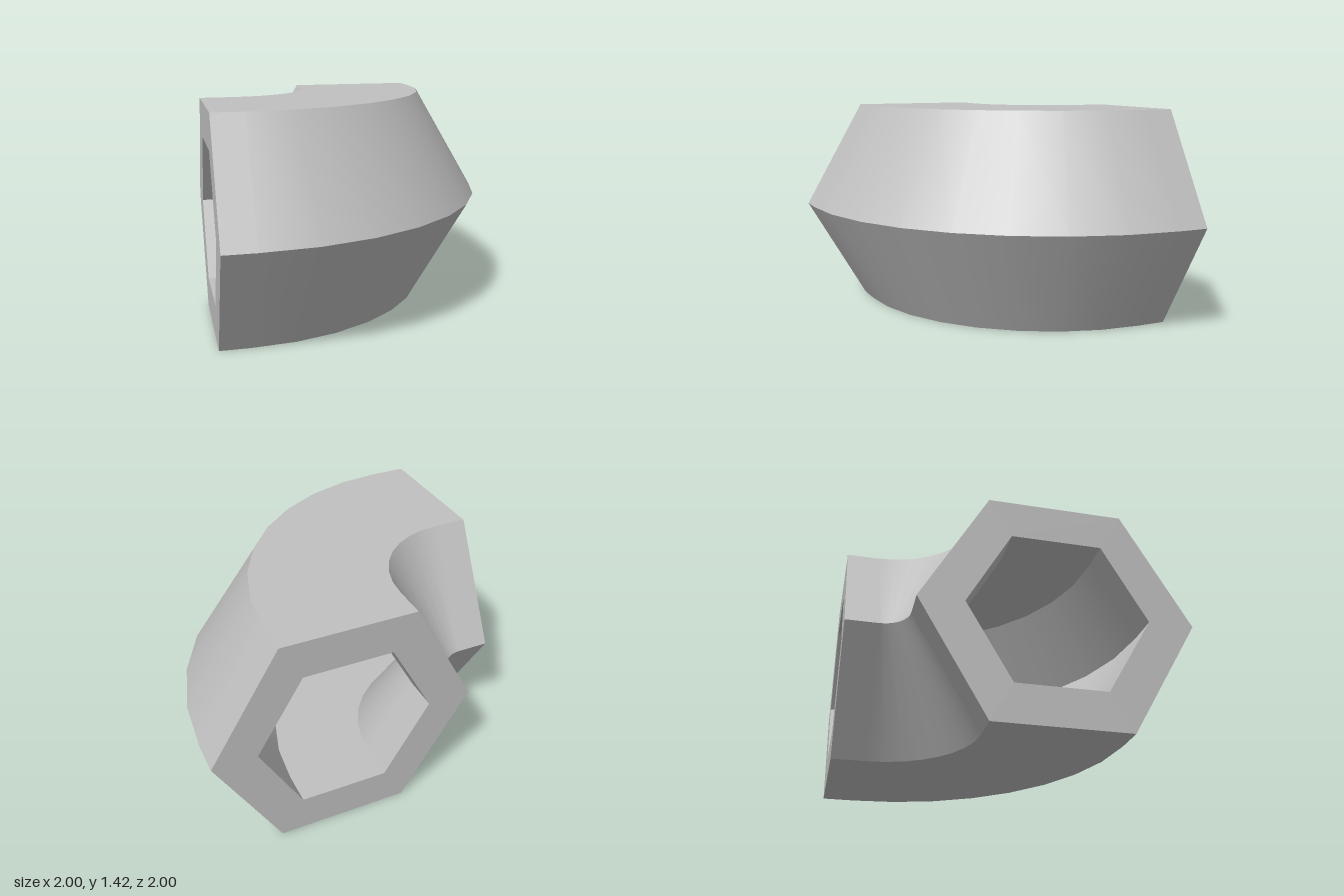
import * as THREE from 'three';

const OUTER = 0.8175;   // circumradius of the hexagonal section
const INNER = 0.545;    // circumradius of the bore
const MID_Y = 0.708;    // height of the pipe axis
const PIVOT = -0.8;     // x and z of the bend's centre
const BEND = 0.9825;    // bend radius of the pipe axis
const SEGMENTS = 8;

// Cross-section stations along the pipe: straight end, quarter bend, straight end
function makeStations() {
  const stations = [{ x: PIVOT, z: -1, t: 0 }];
  for (let i = 0; i <= SEGMENTS; i++) {
    stations.push({ x: PIVOT, z: PIVOT, t: (i / SEGMENTS) * Math.PI / 2 });
  }
  stations.push({ x: -1, z: PIVOT, t: Math.PI / 2 });
  return stations;
}

// Six swept strips, smooth along the bend and sharp at the hexagon's corners
function sweptHexagon(radius, inward) {
  const stations = makeStations();
  const positions = [], normals = [], index = [];
  const sign = inward ? -1 : 1;
  for (let k = 0; k < 6; k++) {
    const base = positions.length / 3;
    const facing = (k + 0.5) * Math.PI / 3;
    for (const s of stations) {
      const dx = Math.cos(s.t), dz = Math.sin(s.t);
      for (const corner of [k, k + 1]) {
        const a = corner * Math.PI / 3;
        const r = BEND + radius * Math.cos(a);
        positions.push(s.x + dx * r, MID_Y + radius * Math.sin(a), s.z + dz * r);
        const n = Math.cos(facing) * sign;
        normals.push(dx * n, Math.sin(facing) * sign, dz * n);
      }
    }
    for (let i = 0; i < stations.length - 1; i++) {
      const p = base + i * 2, q = p + 1, u = p + 2, v = p + 3;
      if (inward) index.push(p, v, q, p, u, v);
      else index.push(p, q, v, p, v, u);
    }
  }
  const geometry = new THREE.BufferGeometry();
  geometry.setAttribute('position', new THREE.Float32BufferAttribute(positions, 3));
  geometry.setAttribute('normal', new THREE.Float32BufferAttribute(normals, 3));
  geometry.setIndex(index);
  return geometry;
}

function hexagonPoints(radius) {
  return Array.from({ length: 6 }, (_, k) =>
    new THREE.Vector2(radius * Math.cos(k * Math.PI / 3), radius * Math.sin(k * Math.PI / 3)));
}

export function createModel() {
  const group = new THREE.Group();
  group.name = 'hexagonalPipeElbow';
  const grey = new THREE.MeshStandardMaterial({ color: 0xc0c0c0 });
  grey.name = 'light grey';

  const add = (name, geometry) => {
    const mesh = new THREE.Mesh(geometry, grey);
    mesh.name = name;
    group.add(mesh);
    return mesh;
  };

  add('outerWall', sweptHexagon(OUTER, false));
  add('innerWall', sweptHexagon(INNER, true));

  // Flat rims closing the wall thickness at both openings
  const rim = new THREE.Shape(hexagonPoints(OUTER));
  rim.holes.push(new THREE.Path(hexagonPoints(INNER)));
  const rimGeometry = new THREE.ShapeGeometry(rim);
  const axis = PIVOT + BEND;

  const backRim = add('backRim', rimGeometry);
  backRim.rotation.y = Math.PI;
  backRim.position.set(axis, MID_Y, -1);

  const rightRim = add('rightRim', rimGeometry);
  rightRim.rotation.y = -Math.PI / 2;
  rightRim.position.set(-1, MID_Y, axis);

  return group;
}
